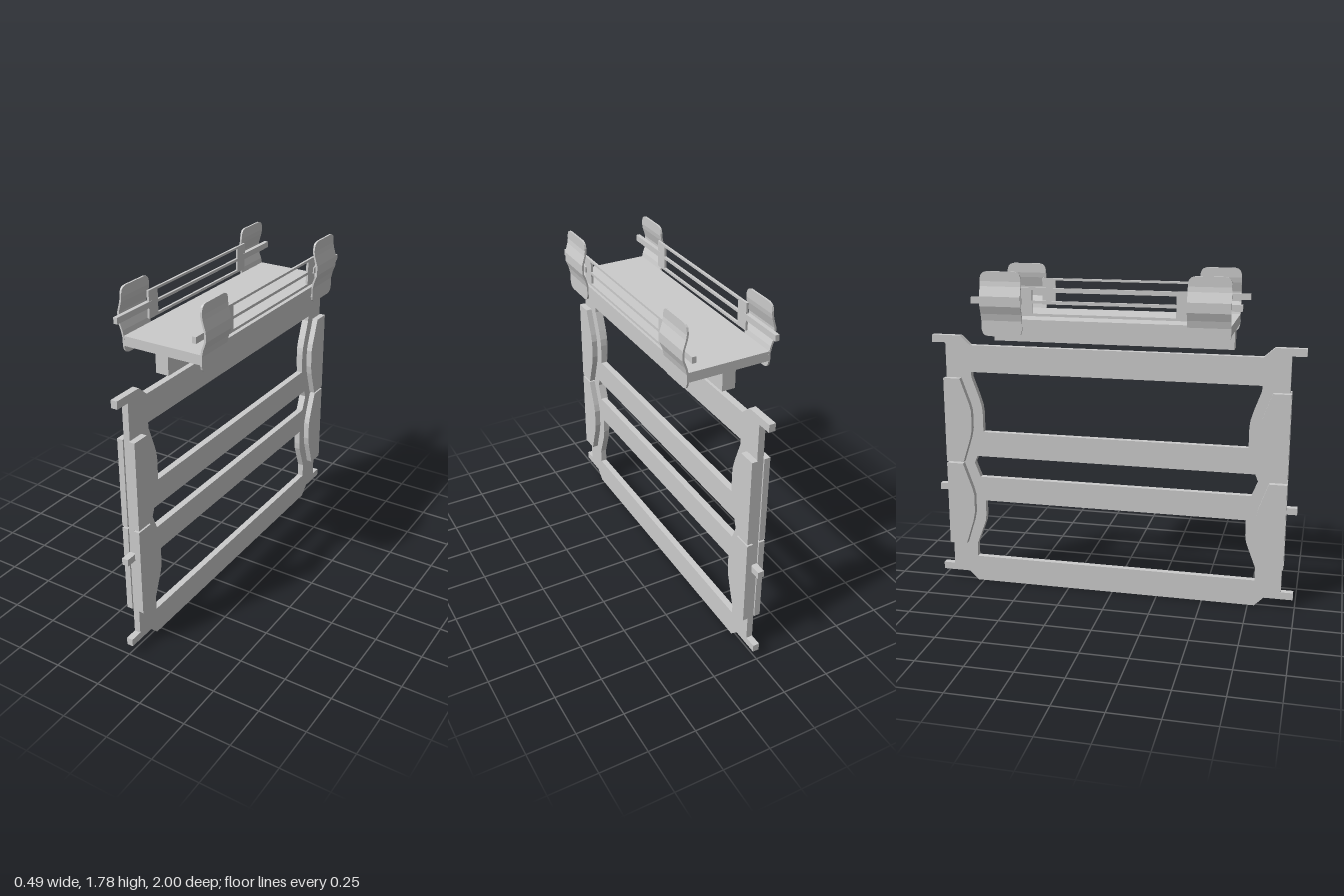
import * as THREE from 'three';

const mat = new THREE.MeshStandardMaterial({ color: 0xcccccc, flatShading: true });

function add(parent, name, geo, x = 0, y = 0, z = 0) {
  const mesh = new THREE.Mesh(geo, mat);
  mesh.name = name;
  mesh.position.set(x, y, z);
  parent.add(mesh);
  return mesh;
}

const box = (w, h, d) => new THREE.BoxGeometry(w, h, d);
const toPoints = (pts) => pts.map(([a, b]) => new THREE.Vector2(a, b));
// Closes a one-sided outline with its reflection
const mirrored = (pts) => toPoints([...pts, ...pts.map(([z, y]) => [-z, y]).reverse()]);

// Plate drawn in the z-y plane, thickened evenly along x
function sidePlate(outline, thickness, holes = []) {
  const shape = new THREE.Shape(outline);
  holes.forEach((h) => shape.holes.push(new THREE.Path(h)));
  const geo = new THREE.ExtrudeGeometry(shape, { depth: thickness, bevelEnabled: false });
  return geo.translate(0, 0, -thickness / 2).rotateY(-Math.PI / 2);
}

// Clamp: rounded rectangle whose columns of points follow a bulging profile
function clampGeometry() {
  const profile = [[0.217, 1.45], [0.217, 1.53], [0.225, 1.565], [0.24, 1.605],
    [0.24, 1.655], [0.225, 1.705], [0.221, 1.73], [0.221, 1.78]];
  const bulge = (y) => {
    let i = 0;
    while (i < profile.length - 2 && y > profile[i + 1][1]) i++;
    const [[x0, y0], [x1, y1]] = [profile[i], profile[i + 1]];
    return x0 + (x1 - x0) * (y - y0) / (y1 - y0);
  };
  const r = 0.035, half = 0.108, t = 0.005;
  const ys = [1.45, 1.455, 1.465, 1.485, 1.53, 1.565, 1.605, 1.655, 1.705, 1.73, 1.745, 1.765, 1.775, 1.78];
  const pos = [], index = [];
  ys.forEach((y) => {
    const d = Math.max(0, r - Math.min(y - 1.45, 1.78 - y));
    const w = half - r + Math.sqrt(Math.max(0, r * r - d * d));
    const x = bulge(y);
    pos.push(x + t, y, w, x + t, y, -w, x - t, y, -w, x - t, y, w);
  });
  for (let i = 0; i < ys.length - 1; i++) {
    for (let j = 0; j < 4; j++) {
      const a = i * 4 + j, b = i * 4 + (j + 1) % 4;
      index.push(a, b, b + 4, a, b + 4, a + 4);
    }
  }
  const n = (ys.length - 1) * 4;
  index.push(0, 2, 1, 0, 3, 2, n, n + 1, n + 2, n, n + 2, n + 3);
  const geo = new THREE.BufferGeometry();
  geo.setAttribute('position', new THREE.Float32BufferAttribute(pos, 3));
  geo.setIndex(index);
  geo.computeVertexNormals();
  return geo;
}

export function createModel() {
  const model = new THREE.Group();
  model.name = 'rackStand';

  // Upright frame: waved posts, four crossbars and end lugs in one plate
  const outline = mirrored([[0.785, 0], [0.835, 0.05], [0.99, 0.05], [0.99, 0.09], [0.925, 0.09],
    [0.925, 1.37], [1, 1.37], [1, 1.41], [0.84, 1.41], [0.785, 1.36]]);
  const openings = [
    [[0.783, 0.145], [0.783, 0.22], [0.745, 0.32], [0.73, 0.36], [0.725, 0.4], [0.725, 0.483]],
    [[0.75, 0.62], [0.781, 0.7], [0.765, 0.74]],
    [[0.725, 0.88], [0.725, 0.99], [0.73, 1.03], [0.745, 1.08], [0.783, 1.185], [0.783, 1.213]],
  ].map(mirrored);
  add(model, 'uprightFrame', sidePlate(outline, 0.034, openings));

  // Grip pads on both faces of each post, plus the middle lugs
  const pad = [[0.933, 0], [0.933, 0.47], [0.84, 0.47], [0.79, 0.33], [0.78, 0.29],
    [0.78, 0.19], [0.79, 0.14], [0.835, 0]];
  for (const end of [1, -1]) {
    const padGeo = sidePlate(toPoints(pad.map(([z, y]) => [z * end, y])), 0.032);
    for (const side of [1, -1]) {
      add(model, 'lowerGripPad', padGeo, side * 0.033, 0.23, 0);
      add(model, 'upperGripPad', padGeo, side * 0.033, 0.71, 0);
    }
    add(model, 'middleLug', box(0.034, 0.036, 0.09), 0, 0.55, end * 0.945);
  }

  // Tray with the keel beneath it
  const tray = new THREE.Group();
  tray.name = 'tray';
  model.add(tray);
  add(tray, 'trayPlate', box(0.43, 0.05, 1.275), 0, 1.515, 0);
  add(tray, 'trayKeel', box(0.07, 0.1, 1.275), 0, 1.445, 0);

  // Side rails, clamps and end pins
  const rect = (z, y0, y1) => toPoints([[-z, y0], [z, y0], [z, y1], [-z, y1]]);
  const railGeo = sidePlate(rect(0.44, 1.56, 1.703), 0.012,
    [rect(0.367, 1.573, 1.624), rect(0.367, 1.638, 1.691)]);
  const clampGeo = clampGeometry();
  for (const side of [1, -1]) {
    add(tray, 'sideRail', railGeo, side * 0.214, 0, 0);
    for (const end of [1, -1]) {
      const clamp = add(tray, 'clamp', clampGeo, 0, 0, end * 0.53);
      if (side < 0) clamp.rotation.y = Math.PI;
      add(tray, 'endPin', box(0.022, 0.032, 0.27), side * 0.217, 1.632, end * 0.555);
    }
  }
  return model;
}
